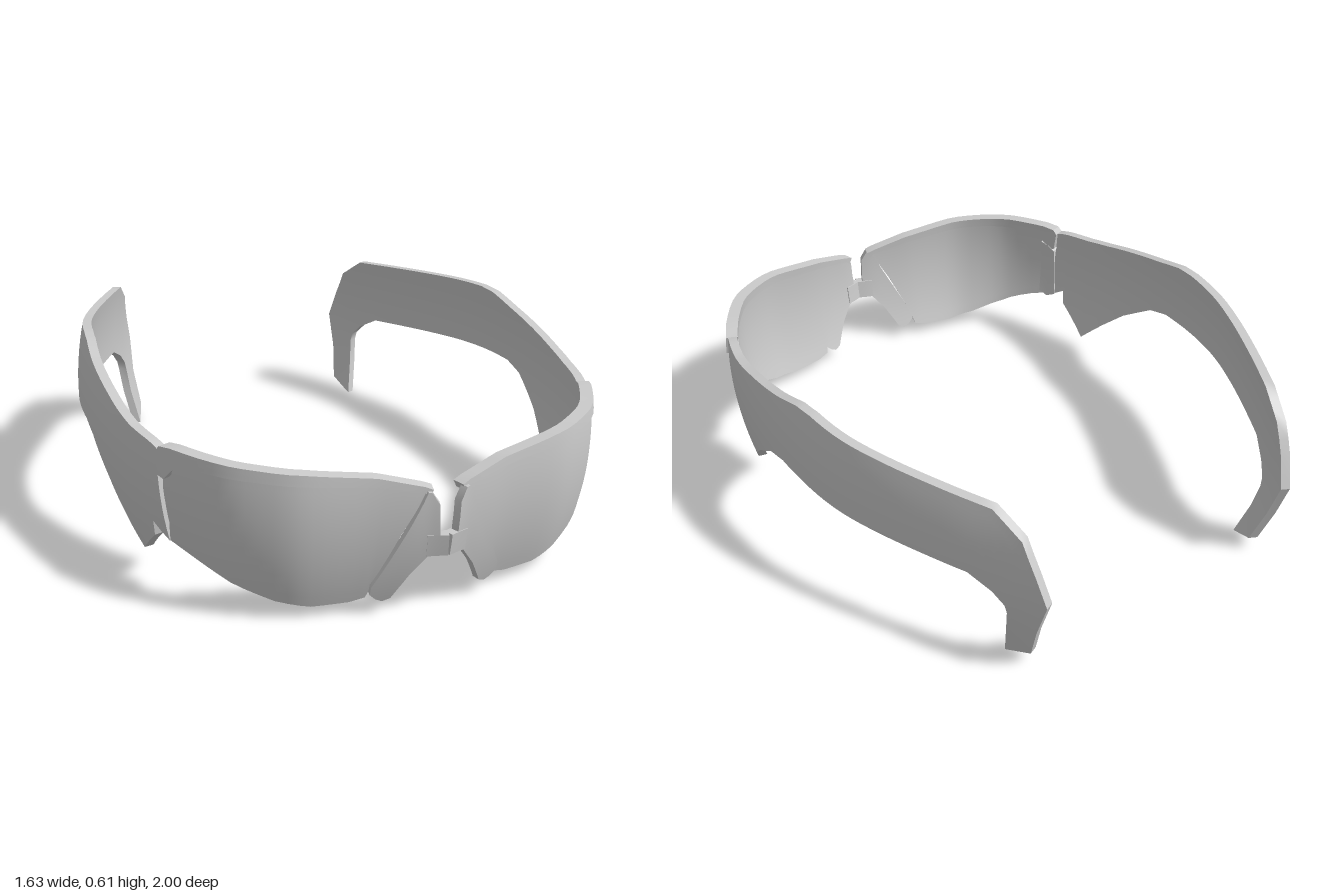
import * as THREE from 'three';
import { toCreasedNormals } from 'three/addons/utils/BufferGeometryUtils.js';

// Plan curve of the wraparound, from the nose round to the tip of the ear hook (x, z)
const plan = new THREE.CatmullRomCurve3([
  [0, 0.985], [0.05, 0.968], [0.1, 0.957], [0.2, 0.935], [0.42, 0.892], [0.51, 0.845],
  [0.6, 0.775], [0.68, 0.66], [0.73, 0.56], [0.775, 0.4], [0.803, 0.2], [0.813, 0],
  [0.803, -0.2], [0.775, -0.35], [0.72, -0.5], [0.625, -0.7], [0.54, -0.86], [0.458, -1.03],
].map(([x, z]) => new THREE.Vector3(x, 0, z)));
const FRONT_END = 10 / 17;

// Curve parameter at a given x (front parts) or z (temples)
function paramAt(axis, value) {
  let lo = 0, hi = axis === 'x' ? FRONT_END : 1;
  for (let i = 0; i < 30; i++) {
    const mid = (lo + hi) / 2, p = plan.getPoint(mid);
    if (axis === 'x' ? p.x < value : p.z > value) lo = mid; else hi = mid;
  }
  return (lo + hi) / 2;
}

// Point on the barrel-shaped wrap surface, moved outward by d
function onWrap(axis, value, y, d) {
  const t = paramAt(axis, value), p = plan.getPoint(t), g = plan.getTangent(t);
  const off = d - 0.5 * (y - 0.36) ** 2;
  return [p.x - g.z * off, y, p.z + g.x * off];
}

// Solid panel swept through sections [start, y, end, y], bent onto the wrap surface
function panel({ axis, outer, inner, sections, rows = 8, step = 0.04 }, side) {
  const stations = [sections[0]];
  for (let i = 1; i < sections.length; i++) {
    const a = sections[i - 1], b = sections[i];
    const len = Math.max(Math.abs(b[0] - a[0]), Math.abs(b[2] - a[2]));
    const n = Math.max(1, Math.ceil(len / step));
    for (let k = 1; k <= n; k++) stations.push(a.map((v, c) => v + (b[c] - v) * k / n));
  }
  const pos = [], index = [], ring = 2 * (rows + 1), last = stations.length - 1;
  const tri = (a, b, c) => (side > 0 ? index.push(a, b, c) : index.push(a, c, b));
  const quad = (a, b, c, d) => { tri(a, b, c); tri(a, c, d); };
  for (const [s0, y0, s1, y1] of stations) {
    for (let k = 0; k < ring; k++) {
      const f = (k <= rows ? k : ring - 1 - k) / rows;
      const p = onWrap(axis, s0 + (s1 - s0) * f, y0 + (y1 - y0) * f, k <= rows ? outer : inner);
      pos.push(p[0] * side, p[1], p[2]);
    }
  }
  for (let i = 0; i < last; i++) {
    for (let k = 0; k < ring; k++) {
      const a = i * ring + k, b = i * ring + (k + 1) % ring;
      quad(a, b, b + ring, a + ring);
    }
  }
  // End caps
  for (let j = 0; j < rows; j++) {
    const n = ring - 1 - j, e = last * ring;
    quad(j, n, n - 1, j + 1);
    quad(e + j, e + j + 1, e + n - 1, e + n);
  }
  const geo = new THREE.BufferGeometry();
  geo.setAttribute('position', new THREE.Float32BufferAttribute(pos, 3));
  geo.setIndex(index);
  return toCreasedNormals(geo, 0.6);
}

const parts = {
  Lens: {
    axis: 'x', outer: 0, inner: -0.014, rows: 12,
    sections: [
      [0.06, 0.405, 0.062, 0.395], [0.1, 0.415, 0.13, 0.27], [0.15, 0.43, 0.19, 0.14],
      [0.2, 0.44, 0.22, 0.052], [0.26, 0.445, 0.265, 0.04], [0.38, 0.455, 0.38, 0.038],
      [0.48, 0.462, 0.49, 0.06], [0.58, 0.465, 0.6, 0.11], [0.66, 0.465, 0.68, 0.165],
      [0.7, 0.455, 0.718, 0.188],
    ],
  },
  // Brow bar over the lens, turning down at the hinge
  Brow: {
    axis: 'x', outer: 0.007, inner: -0.034, rows: 3,
    sections: [
      [0.045, 0.408, 0.055, 0.385], [0.07, 0.418, 0.07, 0.4], [0.2, 0.452, 0.2, 0.425],
      [0.4, 0.478, 0.4, 0.445], [0.52, 0.487, 0.52, 0.453], [0.62, 0.493, 0.62, 0.456],
      [0.68, 0.494, 0.68, 0.452], [0.705, 0.494, 0.7, 0.43], [0.725, 0.488, 0.715, 0.395],
      [0.73, 0.47, 0.725, 0.4],
    ],
  },
  // Frame edge beside the nose notch, widening to the nose pad
  NosePad: {
    axis: 'x', outer: 0.018, inner: -0.008, rows: 4, step: 0.03,
    sections: [
      [0.062, 0.405, 0.05, 0.403], [0.075, 0.375, 0.027, 0.365], [0.11, 0.3, 0.024, 0.27],
      [0.145, 0.23, 0.055, 0.2], [0.185, 0.15, 0.105, 0.135], [0.21, 0.1, 0.14, 0.075],
      [0.212, 0.072, 0.152, 0.053], [0.195, 0.053, 0.175, 0.043],
    ],
  },
  NoseBridge: {
    axis: 'x', outer: 0.02, inner: -0.012, rows: 2, step: 0.02,
    sections: [[0, 0.27, 0, 0.202], [0.06, 0.27, 0.06, 0.2]],
  },
  HingeLug: {
    axis: 'z', outer: -0.014, inner: -0.036, rows: 6,
    sections: [
      [0.625, 0.42, 0.625, 0.2], [0.6, 0.41, 0.59, 0.185], [0.57, 0.39, 0.555, 0.2],
    ],
  },
  // Temple arm with its lower point, ending in the ear hook
  Temple: {
    axis: 'z', outer: 0, inner: -0.03, rows: 8,
    sections: [
      [0.555, 0.475, 0.585, 0.185], [0.53, 0.482, 0.515, 0.225], [0.505, 0.486, 0.507, 0.172],
      [0.4, 0.495, 0.385, 0.07], [0.3, 0.513, 0.3, 0.15], [0.2, 0.535, 0.19, 0.245],
      [0.1, 0.555, 0.05, 0.335], [0, 0.575, -0.04, 0.358], [-0.12, 0.605, -0.15, 0.357],
      [-0.2, 0.61, -0.22, 0.355], [-0.83, 0.577, -0.77, 0.332], [-0.92, 0.51, -0.84, 0.29],
      [-0.965, 0.41, -0.875, 0.25], [-1, 0.31, -0.88, 0.22], [-0.965, 0.18, -0.87, 0.13],
      [-0.935, 0.05, -0.85, 0.002],
    ],
  },
};

export function createModel() {
  const model = new THREE.Group();
  model.name = 'sunglasses';
  const material = new THREE.MeshStandardMaterial({ color: 0xcccccc });
  for (const [word, side] of [['left', 1], ['right', -1]]) {
    for (const [part, spec] of Object.entries(parts)) {
      const mesh = new THREE.Mesh(panel(spec, side), material);
      mesh.name = word + part;
      model.add(mesh);
    }
  }
  return model;
}
